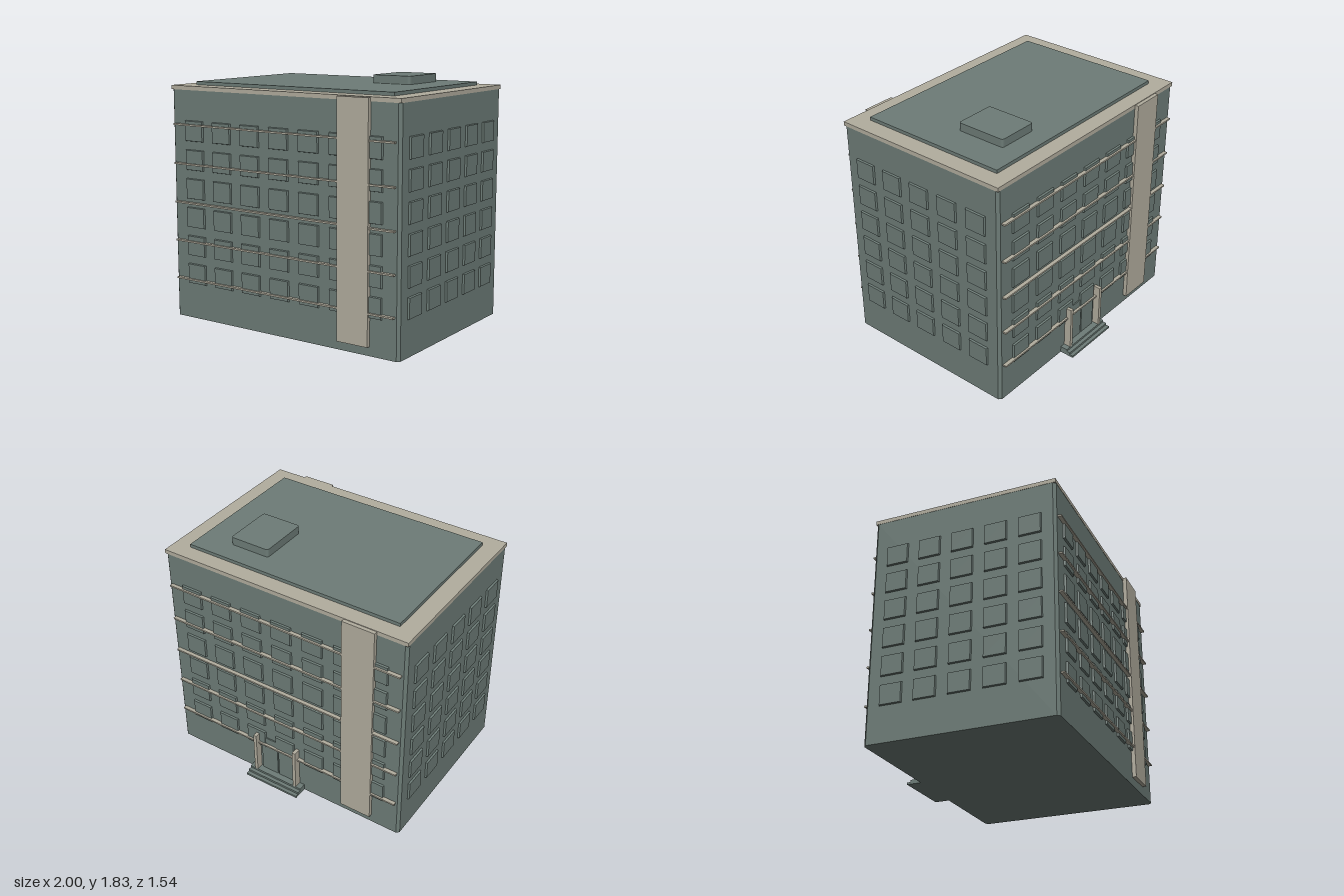
import * as THREE from 'three';

export function createModel() {
  const model = new THREE.Group();
  model.name = 'officeBlock';

  const slate = new THREE.MeshStandardMaterial({ color: 0x6d7c77 });
  slate.name = 'slate';
  const stone = new THREE.MeshStandardMaterial({ color: 0xb2ad9e });
  stone.name = 'stone';

  const X0 = -0.99, X1 = 0.985, Z0 = -0.656, Z1 = 0.738;

  const add = (name, geometry, material, parent = model) => {
    const mesh = new THREE.Mesh(geometry, material);
    mesh.name = name;
    parent.add(mesh);
    return mesh;
  };

  // Box given by its limits on each axis
  const box = (name, x0, x1, y0, y1, z0, z1, material, parent) => {
    const g = new THREE.BoxGeometry(x1 - x0, y1 - y0, z1 - z0);
    g.translate((x0 + x1) / 2, (y0 + y1) / 2, (z0 + z1) / 2);
    return add(name, g, material, parent);
  };

  // Upright block whose four vertical corners are cut or rounded
  const cutBlock = (name, x0, x1, y0, y1, z0, z1, c, round, material) => {
    const s = new THREE.Shape();
    const corner = (cx, cy, x, y) => (round ? s.quadraticCurveTo(cx, cy, x, y) : s.lineTo(x, y));
    s.moveTo(x0 + c, -z1);
    s.lineTo(x1 - c, -z1);
    corner(x1, -z1, x1, -z1 + c);
    s.lineTo(x1, -z0 - c);
    corner(x1, -z0, x1 - c, -z0);
    s.lineTo(x0 + c, -z0);
    corner(x0, -z0, x0, -z0 - c);
    s.lineTo(x0, -z1 + c);
    corner(x0, -z1, x0 + c, -z1);
    const g = new THREE.ExtrudeGeometry(s, { depth: y1 - y0, bevelEnabled: false, curveSegments: 4 });
    g.rotateX(-Math.PI / 2);
    g.translate(0, y0, 0);
    return add(name, g, material);
  };

  // Main volume, cornice and roof
  cutBlock('body', X0, X1, 0, 1.713, Z0, Z1, 0.02, false, slate);
  box('cornice', X0 - 0.002, X1 + 0.002, 1.713, 1.743, Z0 - 0.002, Z1 + 0.002, stone);
  box('roofSlab', -0.86, 0.855, 1.743, 1.768, -0.536, 0.614, slate);
  cutBlock('roofHatch', 0.295, 0.609, 1.768, 1.828, -0.376, 0.01, 0.02, true, slate);

  // Window panel with its outer face drawn in to form a bevel
  const windowGeometry = new THREE.BoxGeometry(0.168, 0.152, 0.014);
  const p = windowGeometry.attributes.position;
  for (let i = 0; i < p.count; i++) {
    if (p.getZ(i) > 0) p.setXY(i, p.getX(i) * 0.95, p.getY(i) * 0.95);
  }
  windowGeometry.translate(0, 0, 0.007);
  windowGeometry.computeVertexNormals();

  // Six floors of windows on each wall
  const windows = new THREE.Group();
  windows.name = 'windows';
  model.add(windows);
  const windowAt = (name, x, y, z, turn) => {
    const m = add(name, windowGeometry, slate, windows);
    m.position.set(x, y, z);
    m.rotation.y = turn;
  };
  for (let row = 0; row < 6; row++) {
    const y = 0.343 + row * 0.2145;
    for (let col = 0; col < 7; col++) {
      const x = -0.774 + col * 0.257;
      windowAt('frontWindow', x, y, Z1, 0);
      windowAt('backWindow', x, y, Z0, Math.PI);
    }
    for (let col = 0; col < 5; col++) {
      const z = 0.55 - col * 0.2535;
      windowAt('leftWindow', X1, y, z, Math.PI / 2);
      windowAt('rightWindow', X0, y, z, -Math.PI / 2);
    }
  }

  // Ledges along the front and back
  for (let i = 0; i < 5; i++) {
    const y = 0.3 + i * 0.29;
    box('frontLedge', -0.957, 0.952, y - 0.006, y + 0.006, Z1, 0.766, stone);
    box('backLedge', -0.957, 0.952, y - 0.006, y + 0.006, -0.684, Z0, stone);
  }

  // Tall pilasters, one on each long wall
  box('frontPilaster', 0.505, 0.755, 0.067, 1.738, Z1, 0.768, stone);
  box('backPilaster', -0.76, -0.51, 0.067, 1.738, -0.686, Z0, stone);

  // Rear entrance: stepped porch, two posts and a double door
  const entrance = new THREE.Group();
  entrance.name = 'rearEntrance';
  model.add(entrance);
  const cx = 0.062;
  for (let i = 0; i < 3; i++) {
    box('step', cx - 0.23, cx + 0.23, i * 0.016, (i + 1) * 0.016, -0.768 + i * 0.028, Z0, slate, entrance);
  }
  for (const side of [-1, 1]) {
    const px = cx + side * 0.176;
    box('post', px - 0.013, px + 0.013, 0.048, 0.383, -0.711, Z0, stone, entrance);
    const dx = cx + side * 0.075;
    box('doorLeaf', dx - 0.07, dx + 0.07, 0.048, 0.36, Z0 - 0.009, Z0, slate, entrance);
  }

  return model;
}
